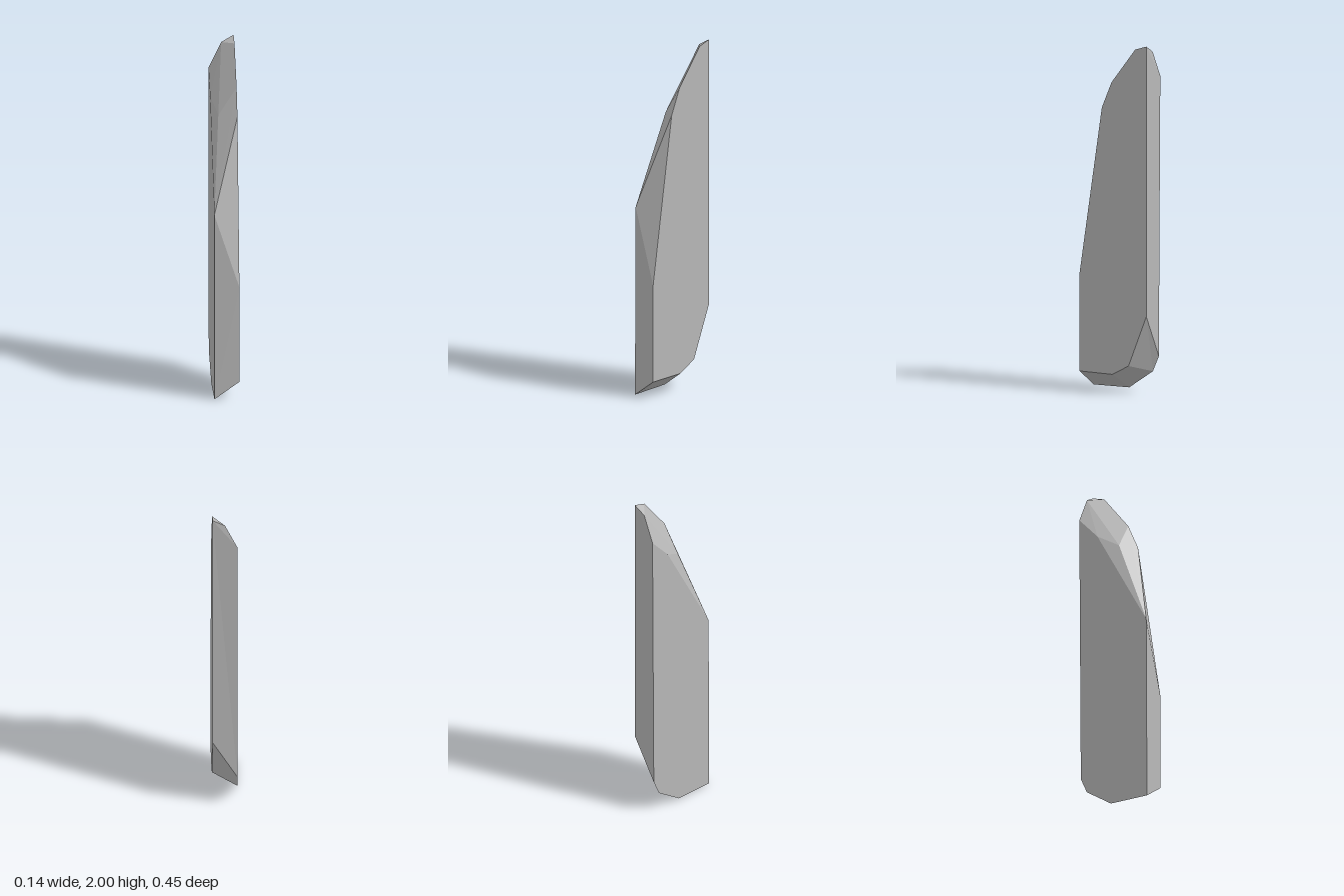
import * as THREE from 'three';

// Corner points: A-H lie on the +x side, the others on the -x side or the chipped tip
const W = 0.07;
const pts = {
  // +x side outline
  R0: [W, 0.10, 0.225], R1: [W, 0.105, 0.005], R2: [W, 0.165, -0.105], A: [W, 0.46, -0.225],
  B: [W, 2.0, -0.225], C: [W, 1.975, -0.15], F: [W, 1.77, 0.01], G: [W, 1.62, 0.075], H: [W, 0.66, 0.225],
  // -x side outline
  L0: [-W, 0, 0.225], L1: [-W, 0.01, -0.015], L2: [-W, 0.12, -0.175], E: [-W, 0.21, -0.215],
  D: [-W, 1.81, -0.225], L: [-W, 1.68, -0.105], P: [-W, 1.09, 0.22],
  // tip facets
  M: [0, 1.96, -0.22], N: [-0.033, 1.61, 0.015],
};

// Fan-triangulate facets, turning each one outward from the middle of the shard
function facets(name, list, material) {
  const centre = new THREE.Vector3(0, 0.95, 0);
  const pos = [];
  for (const names of list) {
    const v = names.split(' ').map((n) => new THREE.Vector3(...pts[n]));
    for (let i = 1; i < v.length - 1; i++) {
      const [a, b, c] = [v[0], v[i], v[i + 1]];
      const normal = b.clone().sub(a).cross(c.clone().sub(a));
      const out = normal.dot(a.clone().sub(centre)) > 0;
      for (const p of out ? [a, b, c] : [a, c, b]) pos.push(p.x, p.y, p.z);
    }
  }
  const geo = new THREE.BufferGeometry();
  geo.setAttribute('position', new THREE.Float32BufferAttribute(pos, 3));
  geo.computeVertexNormals();
  const mesh = new THREE.Mesh(geo, material);
  mesh.name = name;
  return mesh;
}

export function createModel() {
  const stone = new THREE.MeshStandardMaterial({ color: 0xb8b8b8 });
  stone.name = 'grey stone';
  const group = new THREE.Group();
  group.name = 'shard';
  group.add(
    facets('leftSide', ['R0 R1 R2 A B C F G H'], stone),
    facets('rightSide', ['L0 L1 L2 E D L P'], stone),
    facets('frontFace', ['L0 R0 H P', 'P H G'], stone),
    facets('backFace', ['A B E', 'B D E', 'B M D'], stone),
    facets('tip', ['B M C', 'M D L', 'M L N', 'M N F', 'M F C', 'L N P', 'P N F', 'P F G'], stone),
    facets('underside', ['L0 R0 R1 L1', 'L1 R1 R2 L2', 'L2 R2 A E'], stone),
  );
  return group;
}
